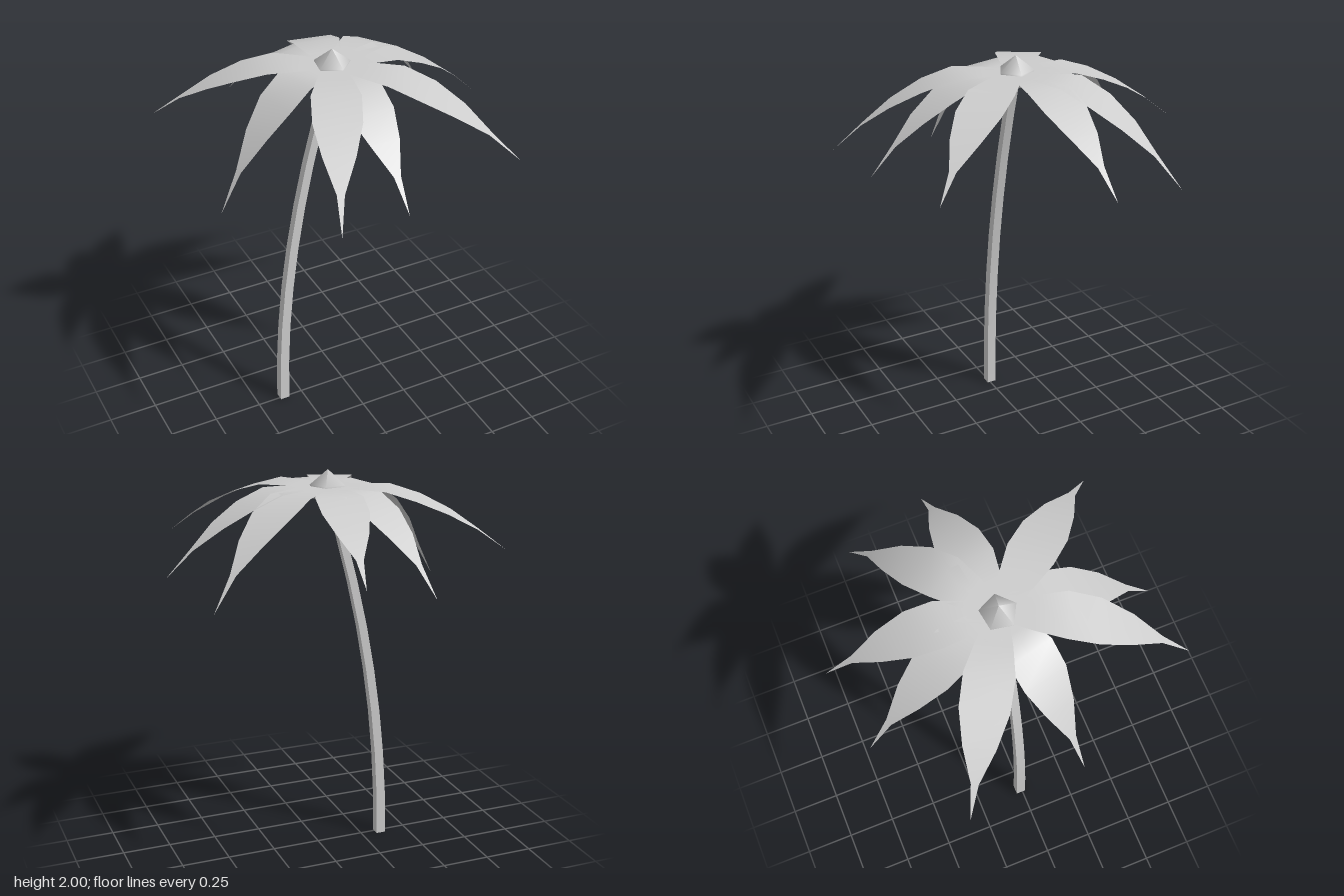
import * as THREE from 'three';

const paleGrey = new THREE.MeshStandardMaterial({ color: 0xcccccc, side: THREE.DoubleSide });
paleGrey.name = 'pale grey';

const CROWN = { x: -0.04, y: 1.92, z: -0.01 };

// Frond stations: [fraction of length, width, fraction of drop]
const STATIONS = [
  [0, 0.08, 0], [0.18, 0.17, 0], [0.34, 0.23, 0.01], [0.51, 0.225, 0.16],
  [0.68, 0.15, 0.38], [0.84, 0.035, 0.66], [1, 0, 1],
];

// Frond tips: [x, y, z]
const TIPS = [
  [-0.80, 1.63, -0.455], [-0.285, 1.51, -0.745], [0.095, 1.61, -0.81],
  [0.695, 1.485, -0.50], [0.80, 1.55, -0.08], [0.57, 1.60, 0.68],
  [-0.41, 1.54, 0.80], [-0.05, 1.52, 0.75], [-0.705, 1.375, 0.15],
];

function add(group, geometry, name) {
  const mesh = new THREE.Mesh(geometry, paleGrey);
  mesh.name = name;
  group.add(mesh);
  return mesh;
}

// Square trunk that leans further with height and tapers slightly
function trunkGeometry() {
  const height = 1.9;
  const geo = new THREE.BoxGeometry(0.05, height, 0.05, 1, 8, 1);
  geo.translate(0, height / 2, 0);
  const p = geo.attributes.position;
  for (let i = 0; i < p.count; i++) {
    const t = p.getY(i) / height;
    const taper = 1 - 0.2 * t;
    p.setX(i, p.getX(i) * taper - 0.353 + 0.308 * t * t);
    p.setZ(i, p.getZ(i) * taper + CROWN.z);
  }
  geo.computeVertexNormals();
  return geo;
}

// Leaf blade drooping towards a pointed tip, growing along -z
function frondGeometry(length, drop) {
  const rows = STATIONS.length - 1;
  const geo = new THREE.PlaneGeometry(1, 1, 1, rows);
  const p = geo.attributes.position;
  for (let i = 0; i < p.count; i++) {
    const [t, width, fall] = STATIONS[Math.round((p.getY(i) + 0.5) * rows)];
    p.setXYZ(i, p.getX(i) * width, -drop * fall, -length * t);
  }
  geo.computeVertexNormals();
  return geo;
}

export function createModel() {
  const model = new THREE.Group();
  model.name = 'palmTree';

  add(model, trunkGeometry(), 'trunk');

  // Five-sided bud at the top of the trunk
  const profile = [[0, 1.85], [0.075, 1.86], [0.09, 1.928], [0, 2]]
    .map(([r, y]) => new THREE.Vector2(r, y));
  const bud = add(model, new THREE.LatheGeometry(profile, 5, THREE.MathUtils.degToRad(80)), 'crownBud');
  bud.position.set(CROWN.x - 0.005, 0, CROWN.z - 0.005);

  // Ring of fronds, each turned towards its tip
  const fronds = new THREE.Group();
  fronds.name = 'fronds';
  fronds.position.set(CROWN.x, CROWN.y, CROWN.z);
  model.add(fronds);
  TIPS.forEach(([x, y, z], i) => {
    const dx = x - CROWN.x, dz = z - CROWN.z;
    const frond = add(fronds, frondGeometry(Math.hypot(dx, dz), CROWN.y - y), `frond${i + 1}`);
    frond.rotation.y = Math.atan2(-dx, -dz);
  });

  return model;
}
